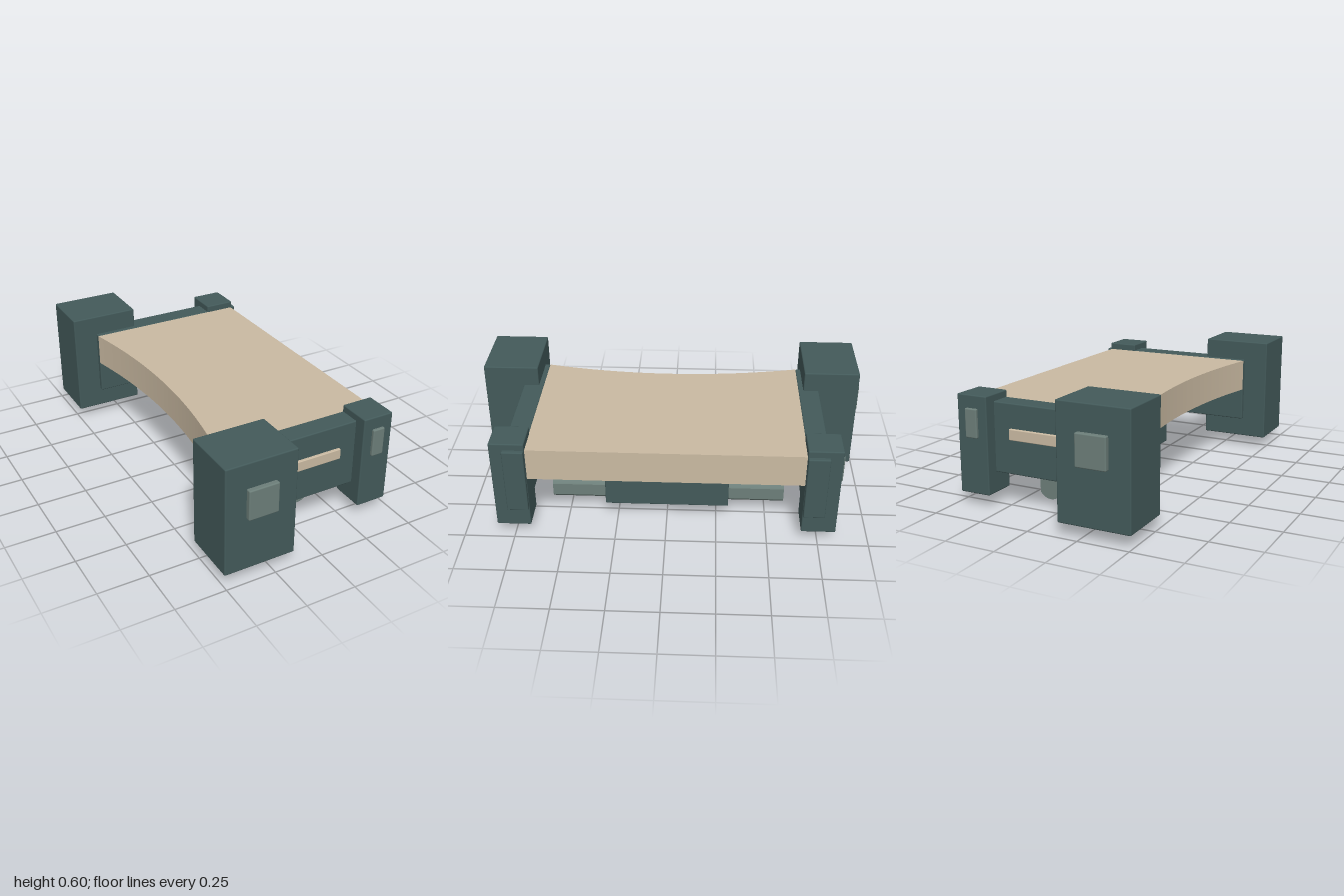
import * as THREE from 'three';
import { RoundedBoxGeometry } from 'three/addons/geometries/RoundedBoxGeometry.js';

const mat = (name, color) => {
  const m = new THREE.MeshStandardMaterial({ color });
  m.name = name;
  return m;
};

export function createModel() {
  const teal = mat('dark teal', 0x435a5a);
  const grey = mat('grey green', 0x6c7e79);
  const tan = mat('tan', 0xcabaa2);
  const model = new THREE.Group();

  // Softly bevelled box given by its limits on each axis
  const box = (parent, name, material, [x0, x1], [y0, y1], [z0, z1], r = 0.006) => {
    const g = new RoundedBoxGeometry(x1 - x0, y1 - y0, z1 - z0, 2, r);
    const m = new THREE.Mesh(g, material);
    m.position.set((x0 + x1) / 2, (y0 + y1) / 2, (z0 + z1) / 2);
    m.name = name;
    parent.add(m);
  };

  // End assemblies, mirrored front to back
  for (const s of [1, -1]) {
    const end = new THREE.Group();
    end.name = s > 0 ? 'frontEnd' : 'backEnd';
    const add = (name, material, x, y, [a, b], r) =>
      box(end, name, material, x, y, s > 0 ? [a, b] : [-b, -a], r);
    add('sidePanel', teal, [-0.37, 0.495], [0.163, 0.503], [0.668, 0.773]);
    add('largePost', teal, [-0.497, -0.14], [0.06, 0.606], [0.693, 0.977]);
    add('smallPost', teal, [0.315, 0.475], [0.062, 0.537], [0.666, 0.835]);
    add('largePostPlate', grey, [-0.393, -0.243], [0.33, 0.481], [0.96, 1.0]);
    add('smallPostPlate', grey, [0.363, 0.427], [0.335, 0.475], [0.815, 0.849]);
    add('panelStrip', tan, [-0.053, 0.229], [0.331, 0.384], [0.757, 0.787], 0.004);
    model.add(end);
  }

  // Deck slab with one concave long edge (shape x, y become model x, -z)
  const shape = new THREE.Shape();
  shape.moveTo(-0.37, -0.668);
  shape.lineTo(0.468, -0.668);
  shape.lineTo(0.468, 0.668);
  shape.lineTo(-0.37, 0.668);
  shape.quadraticCurveTo(-0.22, 0, -0.37, -0.668);
  const deckGeo = new THREE.ExtrudeGeometry(shape, { depth: 0.165, bevelEnabled: false, curveSegments: 32 });
  deckGeo.rotateX(-Math.PI / 2);
  const deck = new THREE.Mesh(deckGeo, tan);
  deck.position.y = 0.336;
  deck.name = 'deck';
  model.add(deck);

  // Block beneath the deck
  box(model, 'underBlock', teal, [-0.065, 0.317], [0.085, 0.324], [-0.31, 0.31]);

  // Ground bar: round section with flattened sides
  const R = 0.065, cut = Math.PI / 6;
  const section = new THREE.Shape();
  section.absarc(0, 0, R, cut, Math.PI - cut, false);
  section.absarc(0, 0, R, Math.PI + cut, 2 * Math.PI - cut, false);
  section.closePath();
  const barGeo = new THREE.ExtrudeGeometry(section, { depth: 1.2, bevelEnabled: false, curveSegments: 12 });
  const bar = new THREE.Mesh(barGeo, grey);
  bar.position.set(0.127, 0.067, -0.6);
  bar.name = 'groundBar';
  model.add(bar);

  return model;
}
